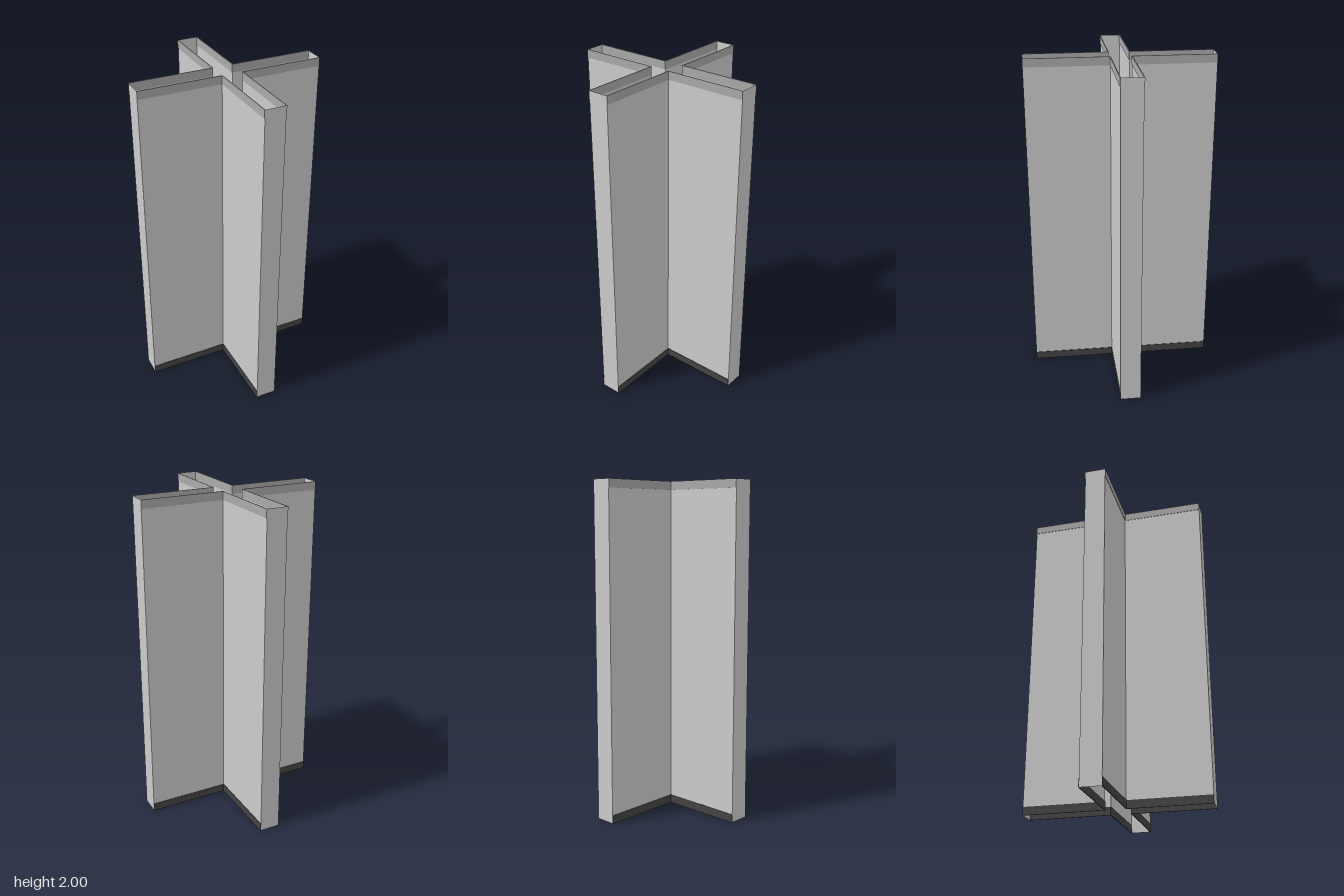
import * as THREE from 'three';

const HALF = 0.0625;   // half the thickness of an arm
const REACH = 0.5625;  // distance from the centre to an arm's end
const HEIGHT = 2;
const BAND = 0.05;     // height of the trim strips
const TRIM = 0.005;    // thickness of the trim strips

const wallMat = new THREE.MeshStandardMaterial({ color: 0xcccccc, side: THREE.DoubleSide });
const topMat = new THREE.MeshStandardMaterial({ color: 0xaaaaaa });
const baseMat = new THREE.MeshStandardMaterial({ color: 0x444444 });

function add(parent, name, geometry, material, x, y, z, turn = 0) {
  const mesh = new THREE.Mesh(geometry, material);
  mesh.name = name;
  mesh.position.set(x, y, z);
  mesh.rotation.y = turn;
  parent.add(mesh);
}

export function createModel() {
  const model = new THREE.Group();
  model.name = 'crossWall';

  const length = REACH - HALF;
  const mid = (REACH + HALF) / 2;
  const side = new THREE.PlaneGeometry(length, HEIGHT);
  const end = new THREE.PlaneGeometry(HALF * 2, HEIGHT);
  const strip = new THREE.BoxGeometry(TRIM, BAND, length);

  // Four identical arms around an open centre, hollow and open above and below
  for (let i = 0; i < 4; i++) {
    const arm = new THREE.Group();
    arm.name = 'arm' + (i + 1);
    arm.rotation.y = (i * Math.PI) / 2;

    add(arm, 'endWall', end, wallMat, 0, HEIGHT / 2, REACH);
    for (const s of [-1, 1]) {
      add(arm, 'sideWall', side, wallMat, s * HALF, HEIGHT / 2, mid, (s * Math.PI) / 2);
      // Trim strips straddle the wall so they show inside and out
      add(arm, 'topTrim', strip, topMat, s * HALF, HEIGHT - BAND / 2, mid);
      add(arm, 'skirting', strip, baseMat, s * HALF, BAND / 2, mid);
    }
    model.add(arm);
  }
  return model;
}
